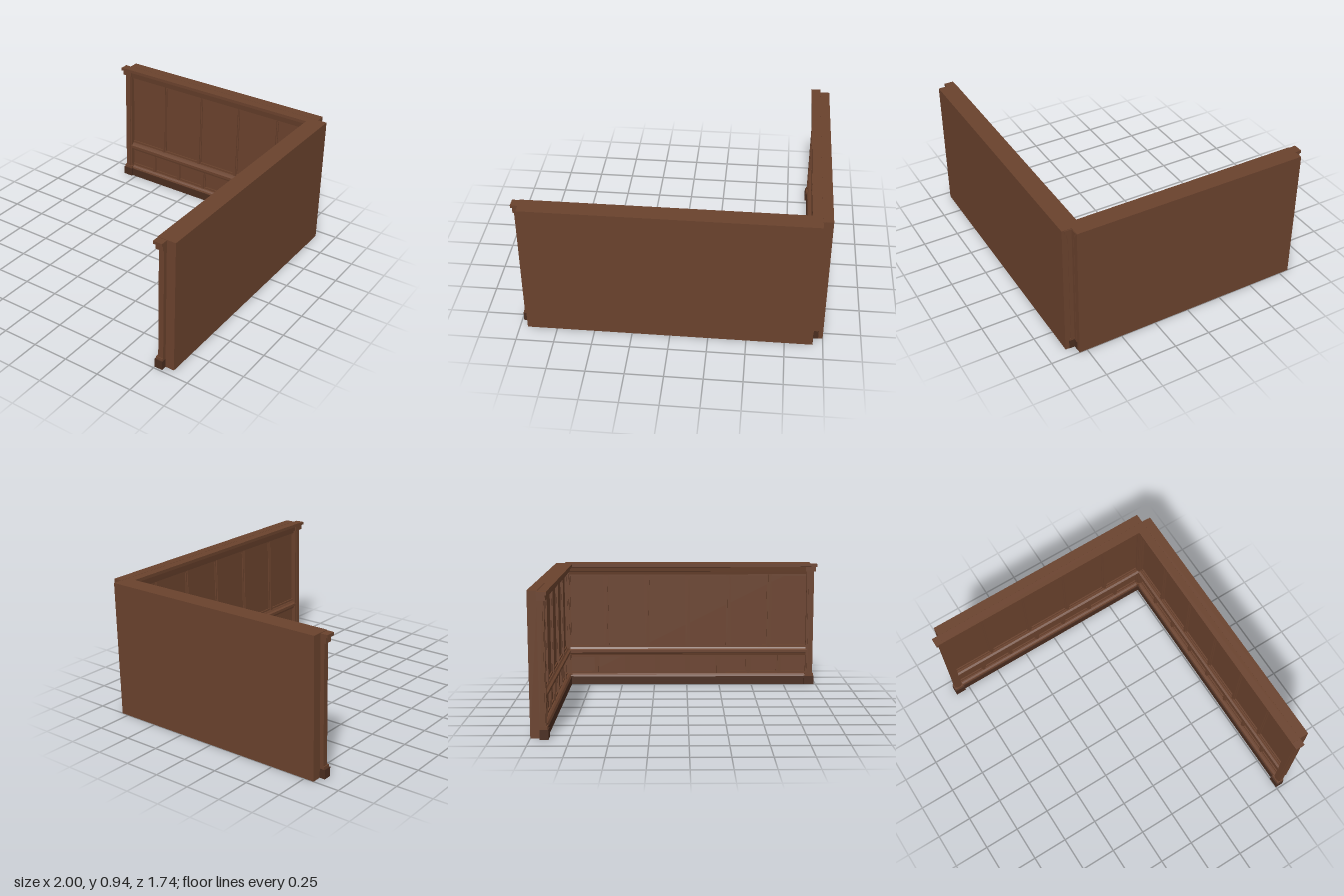
import * as THREE from 'three';

const wood = new THREE.MeshStandardMaterial({ color: 0x6a422d });
wood.name = 'brown wood';
const darkWood = new THREE.MeshStandardMaterial({ color: 0x4a2d1f });
darkWood.name = 'dark wood';

const H = 0.94, THICK = 0.066;

function add(group, name, geometry, material = wood) {
  const mesh = new THREE.Mesh(geometry, material);
  mesh.name = name;
  group.add(mesh);
  return mesh;
}

// box given by its low and high corners
function block(group, name, x0, x1, y0, y1, z0, z1, material) {
  const m = add(group, name, new THREE.BoxGeometry(x1 - x0, y1 - y0, z1 - z0), material);
  m.position.set((x0 + x1) / 2, (y0 + y1) / 2, (z0 + z1) / 2);
  return m;
}

// horizontal moulding: profile of [depth, height] points swept along the wall
function moulding(group, name, length, profile, material) {
  const shape = new THREE.Shape(profile.map(([d, y]) => new THREE.Vector2(d, y)));
  const geo = new THREE.ExtrudeGeometry(shape, { depth: length, bevelEnabled: false });
  geo.rotateY(Math.PI / 2);
  geo.translate(-length / 2, 0, 0);
  add(group, name, geo, material);
}

// row of equal panels parted by stepped stiles, with thin rails above and below
function panelRow(group, name, length, count, y0, y1) {
  for (let i = 0; i <= count; i++) {
    const x = -length / 2 + (length * i) / count;
    const lo = i === 0 ? 0 : 1, hi = i === count ? 0 : 1;
    block(group, name + 'Stile', x - 0.018 * lo, x + 0.018 * hi, y0, y1, -0.009, 0);
    block(group, name + 'StileBead', x - 0.009 * lo, x + 0.009 * hi, y0, y1, -0.018, -0.009);
  }
  block(group, name + 'BottomRail', -length / 2, length / 2, y0, y0 + 0.014, -0.009, 0);
  block(group, name + 'TopRail', -length / 2, length / 2, y1 - 0.014, y1, -0.009, 0);
}

// pilaster centred on the end of a wall
function pilaster(x) {
  const g = new THREE.Group();
  g.name = 'pilaster';
  const tier = (name, half, y0, y1, depth, mat) =>
    block(g, name, -half, half, y0, y1, -depth, 0.003, mat);
  tier('plinth', 0.038, 0, 0.063, 0.053, darkWood);
  tier('plinthStep', 0.033, 0.063, 0.082, 0.047);
  tier('shaft', 0.027, 0.082, 0.88, 0.034);
  tier('shaftFace', 0.016, 0.082, 0.88, 0.041);
  tier('capitalNeck', 0.037, 0.879, 0.916, 0.051);
  tier('capitalTop', 0.049, 0.916, 0.936, 0.061);
  g.position.x = x;
  return g;
}

// wall section: plain outside toward +z, panelled inside toward -z
function wall(name, length, upperPanels, lowerPanels) {
  const g = new THREE.Group();
  g.name = name;
  block(g, 'wallSlab', -length / 2, length / 2, 0, H, 0, THICK);

  moulding(g, 'baseboard', length,
    [[0, 0], [0.042, 0], [0.042, 0.06], [0, 0.06]], darkWood);
  moulding(g, 'baseboardCap', length,
    [[0, 0.06], [0.036, 0.06], [0.032, 0.072], [0.02, 0.082], [0, 0.082]]);
  moulding(g, 'chairRail', length,
    [[0, 0.225], [0.018, 0.225], [0.022, 0.24], [0.036, 0.248], [0.036, 0.268],
      [0.022, 0.276], [0.016, 0.288], [0, 0.288]]);
  moulding(g, 'cornice', length,
    [[0, 0.855], [0.018, 0.855], [0.022, 0.875], [0.04, 0.88], [0.046, 0.912],
      [0.062, 0.917], [0.062, 0.939], [0, 0.939]]);

  panelRow(g, 'lowerPanel', length, lowerPanels, 0.082, 0.225);
  panelRow(g, 'upperPanel', length, upperPanels, 0.288, 0.855);

  for (const side of [-1, 1]) g.add(pilaster((side * length) / 2));
  return g;
}

export function createModel() {
  const model = new THREE.Group();
  model.name = 'panelledCornerWall';

  const front = wall('frontWall', 1.882, 6, 8);
  front.position.set(-0.008, 0, 0.802);
  model.add(front);

  const left = wall('leftWall', 1.622, 5, 7);
  left.rotation.y = Math.PI / 2;
  left.position.set(0.934, 0, -0.008);
  model.add(left);

  return model;
}
